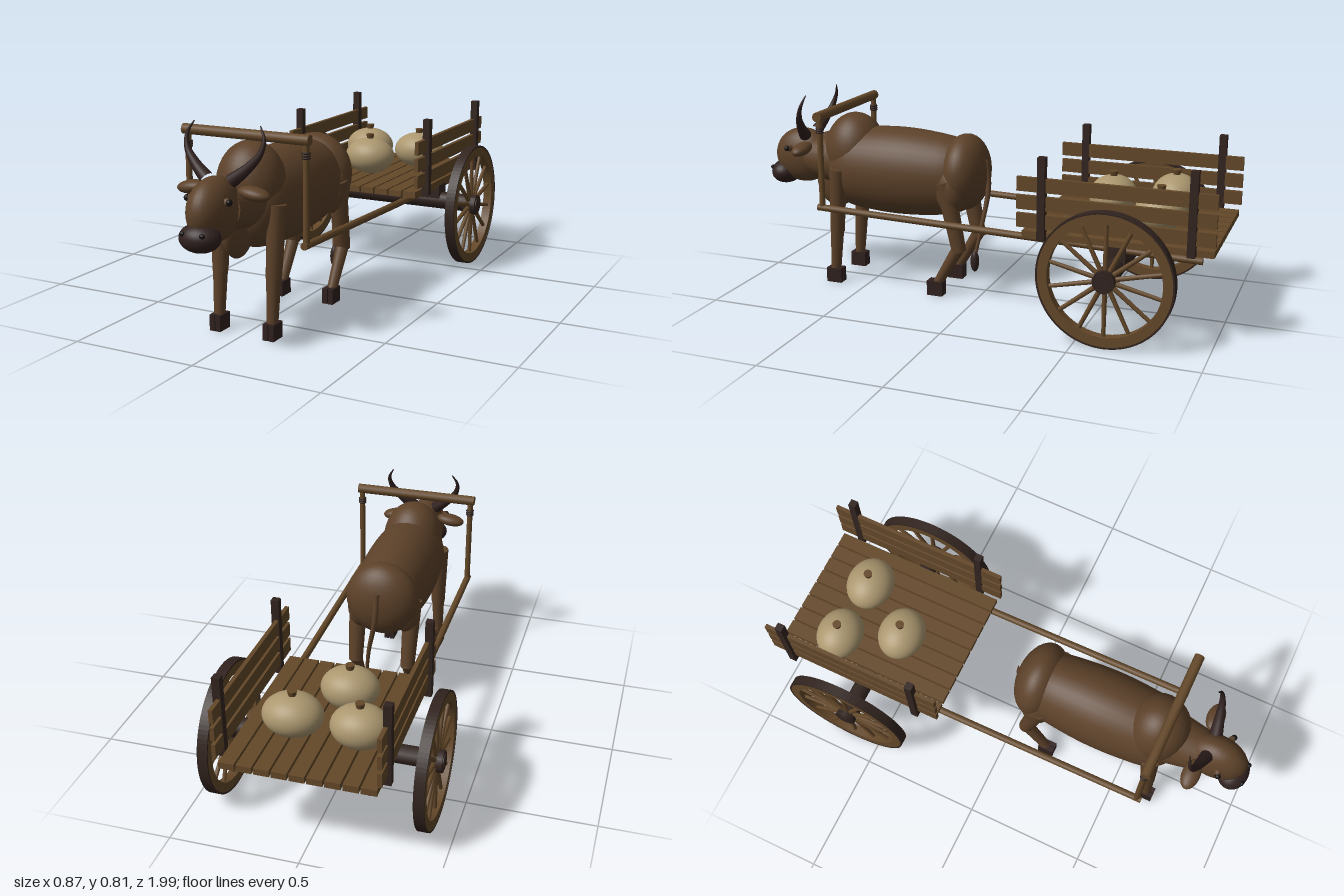
import * as THREE from 'three';

const mat = (name, color) => Object.assign(new THREE.MeshStandardMaterial({ color }), { name });
const V = (x, y, z) => new THREE.Vector3(x, y, z);

export function createModel() {
  const root = new THREE.Group();
  root.name = 'oxCart';
  const hide = mat('brown hide', 0x5c4129);
  const wood = mat('wood', 0x644829);
  const dark = mat('dark wood', 0x32241f);
  const horn = mat('dark horn', 0x30211f);
  const sack = mat('sackcloth', 0xab976f);
  const black = mat('black', 0x15100f);

  const add = (parent, name, geo, m, x = 0, y = 0, z = 0) => {
    const mesh = new THREE.Mesh(geo, m);
    mesh.name = name;
    mesh.position.set(x, y, z);
    parent.add(mesh);
    return mesh;
  };
  const group = (name) => {
    const g = new THREE.Group();
    g.name = name;
    root.add(g);
    return g;
  };
  const box = (p, name, m, w, h, d, x, y, z) => add(p, name, new THREE.BoxGeometry(w, h, d), m, x, y, z);
  const ball = (p, name, m, rx, ry, rz, x, y, z) =>
    add(p, name, new THREE.SphereGeometry(1, 32, 20).scale(rx, ry, rz), m, x, y, z);
  // tapered cylinder between two points
  const limb = (p, name, m, a, b, ra, rb, sides = 12) => {
    const mid = a.clone().lerp(b, 0.5);
    const mesh = add(p, name, new THREE.CylinderGeometry(rb, ra, a.distanceTo(b), sides), m, mid.x, mid.y, mid.z);
    mesh.quaternion.setFromUnitVectors(V(0, 1, 0), b.clone().sub(a).normalize());
    return mesh;
  };
  // curved tube whose radius shrinks from r0 to r1
  const taper = (p, name, m, pts, r0, r1) => {
    const n = 24, k = 12, curve = new THREE.CatmullRomCurve3(pts);
    const geo = new THREE.TubeGeometry(curve, n, 1, k);
    const pos = geo.attributes.position, v = V(0, 0, 0);
    for (let i = 0; i < pos.count; i++) {
      const t = Math.floor(i / (k + 1)) / n, c = curve.getPointAt(t);
      v.fromBufferAttribute(pos, i).sub(c).multiplyScalar(r0 + (r1 - r0) * t).add(c);
      pos.setXYZ(i, v.x, v.y, v.z);
    }
    return add(p, name, geo, m);
  };

  // ---- ox: torso ----
  const ox = group('ox');
  const profile = new THREE.SplineCurve([
    [0, -0.35], [0.09, -0.32], [0.133, -0.25], [0.151, -0.13], [0.158, 0],
    [0.153, 0.13], [0.138, 0.24], [0.09, 0.31], [0, 0.34],
  ].map(([r, h]) => new THREE.Vector2(r, h))).getPoints(40).map((q) => q.set(Math.max(q.x, 0), q.y));
  add(ox, 'barrel', new THREE.LatheGeometry(profile, 36).rotateX(Math.PI / 2).scale(1, 1.17, 1), hide, 0, 0.487, 0.37);
  ball(ox, 'rump', hide, 0.153, 0.158, 0.098, 0, 0.508, 0.088);
  ball(ox, 'shoulderHump', hide, 0.13, 0.165, 0.13, 0, 0.555, 0.59);
  ball(ox, 'dewlap', hide, 0.04, 0.12, 0.095, 0, 0.422, 0.685);
  limb(ox, 'neck', hide, V(0, 0.51, 0.6), V(0, 0.515, 0.8), 0.118, 0.082, 24);

  // ---- ox: head ----
  ball(ox, 'head', hide, 0.08, 0.118, 0.13, 0, 0.517, 0.84);
  ball(ox, 'muzzle', horn, 0.078, 0.052, 0.062, 0, 0.437, 0.93);
  for (const s of [1, -1]) {
    ball(ox, 'eye', black, 0.011, 0.012, 0.012, s * 0.086, 0.558, 0.876);
    limb(ox, 'eyeSocket', hide, V(s * 0.05, 0.555, 0.865), V(s * 0.084, 0.557, 0.873), 0.02, 0.012);
    ball(ox, 'nostril', black, 0.011, 0.009, 0.008, s * 0.04, 0.458, 0.977);
    ball(ox, 'ear', hide, 0.062, 0.025, 0.036, s * 0.127, 0.573, 0.78).rotation.z = s * -0.14;
    taper(ox, 'horn', horn, [
      V(s * 0.05, 0.615, 0.805), V(s * 0.105, 0.66, 0.79), V(s * 0.147, 0.71, 0.775),
      V(s * 0.157, 0.76, 0.76), V(s * 0.135, 0.805, 0.746),
    ], 0.026, 0.002);

    // front leg
    limb(ox, 'frontUpperLeg', hide, V(s * 0.12, 0.5, 0.615), V(s * 0.114, 0.225, 0.632), 0.037, 0.03);
    limb(ox, 'frontLowerLeg', hide, V(s * 0.114, 0.235, 0.632), V(s * 0.114, 0.05, 0.645), 0.028, 0.021);
    // hind leg
    ball(ox, 'thigh', hide, 0.055, 0.1, 0.065, s * 0.1, 0.45, 0.115);
    limb(ox, 'hindUpperLeg', hide, V(s * 0.117, 0.49, 0.135), V(s * 0.114, 0.2, 0.075), 0.04, 0.03);
    limb(ox, 'hindLowerLeg', hide, V(s * 0.114, 0.225, 0.07), V(s * 0.114, 0.05, 0.172), 0.027, 0.02);
    // cloven hooves
    for (const z of [0.645, 0.178])
      for (const o of [-0.0125, 0.0125])
        box(ox, 'hoof', horn, 0.021, 0.062, 0.068, s * 0.114 + o, 0.031, z);
  }
  taper(ox, 'tail', hide, [V(0, 0.57, 0), V(0.005, 0.45, -0.012), V(0.035, 0.3, 0.005), V(0.052, 0.17, 0.028)], 0.013, 0.007);
  ball(ox, 'tailTuft', horn, 0.018, 0.045, 0.018, 0.053, 0.143, 0.03);

  // ---- yoke and shafts ----
  const yoke = group('yoke');
  limb(yoke, 'yokeBeam', wood, V(-0.263, 0.746, 0.628), V(0.263, 0.746, 0.628), 0.02, 0.02);
  for (const s of [1, -1]) {
    limb(yoke, 'yokePost', wood, V(s * 0.246, 0.355, 0.625), V(s * 0.246, 0.735, 0.625), 0.012, 0.012);
    for (const y of [0.682, 0.691, 0.7])
      add(yoke, 'lashing', new THREE.TorusGeometry(0.013, 0.004, 8, 16).rotateX(Math.PI / 2), dark, s * 0.246, y, 0.625);
    limb(yoke, 'shaft', wood, V(s * 0.246, 0.366, 0.645), V(s * 0.246, 0.324, -0.94), 0.014, 0.014);
  }

  // ---- cart bed ----
  const cart = group('cart');
  for (let i = -4; i <= 4; i++) box(cart, 'floorPlank', wood, 0.057, 0.026, 0.735, i * 0.0645, 0.365, -0.62);
  for (const s of [1, -1]) {
    for (const y of [0.425, 0.496, 0.567]) box(cart, 'sideBoard', wood, 0.016, 0.055, 0.757, s * 0.297, y, -0.615);
    for (const z of [-0.337, -0.907]) box(cart, 'sidePost', dark, 0.03, 0.323, 0.03, s * 0.303, 0.516, z);
    box(cart, 'axleBlock', dark, 0.085, 0.075, 0.08, s * 0.223, 0.317, -0.615);
  }

  // ---- axle and wheels ----
  const cz = -0.615, cy = 0.262;
  limb(cart, 'axle', dark, V(-0.4, cy + 0.003, cz), V(0.4, cy + 0.003, cz), 0.038, 0.038, 10);
  const ring = (outer, inner, depth) => {
    const shape = new THREE.Shape().absarc(0, 0, outer, 0, Math.PI * 2);
    shape.holes.push(new THREE.Path().absarc(0, 0, inner, 0, Math.PI * 2, true));
    return new THREE.ExtrudeGeometry(shape, { depth, bevelEnabled: false, curveSegments: 48 })
      .translate(0, 0, -depth / 2).rotateY(Math.PI / 2);
  };
  for (const s of [1, -1]) {
    const wheel = new THREE.Group();
    wheel.name = 'wheel';
    wheel.position.set(s * 0.403, cy, cz);
    cart.add(wheel);
    add(wheel, 'tire', ring(0.262, 0.255, 0.04), dark);
    add(wheel, 'rim', ring(0.256, 0.218, 0.038), wood);
    limb(wheel, 'hub', dark, V(-0.03, 0, 0), V(0.03, 0, 0), 0.043, 0.043, 16);
    limb(wheel, 'hubCap', dark, V(-0.034, 0, 0), V(0.034, 0, 0), 0.03, 0.03, 16);
    for (let i = 0; i < 14; i++) {
      const a = (i / 14) * Math.PI * 2, c = Math.cos(a), n = Math.sin(a);
      limb(wheel, 'spoke', wood, V(0, c * 0.03, n * 0.03), V(0, c * 0.225, n * 0.225), 0.01, 0.008, 8);
    }
  }

  // ---- sacks ----
  for (const [x, z, r] of [[-0.158, -0.752, 0.11], [0.095, -0.745, 0.114], [-0.05, -0.522, 0.112]]) {
    ball(cart, 'sack', sack, r, 0.08, r * 0.85, x, 0.458, z);
    limb(cart, 'sackKnot', wood, V(x, 0.53, z), V(x, 0.556, z), 0.013, 0.018, 10);
  }
  return root;
}
